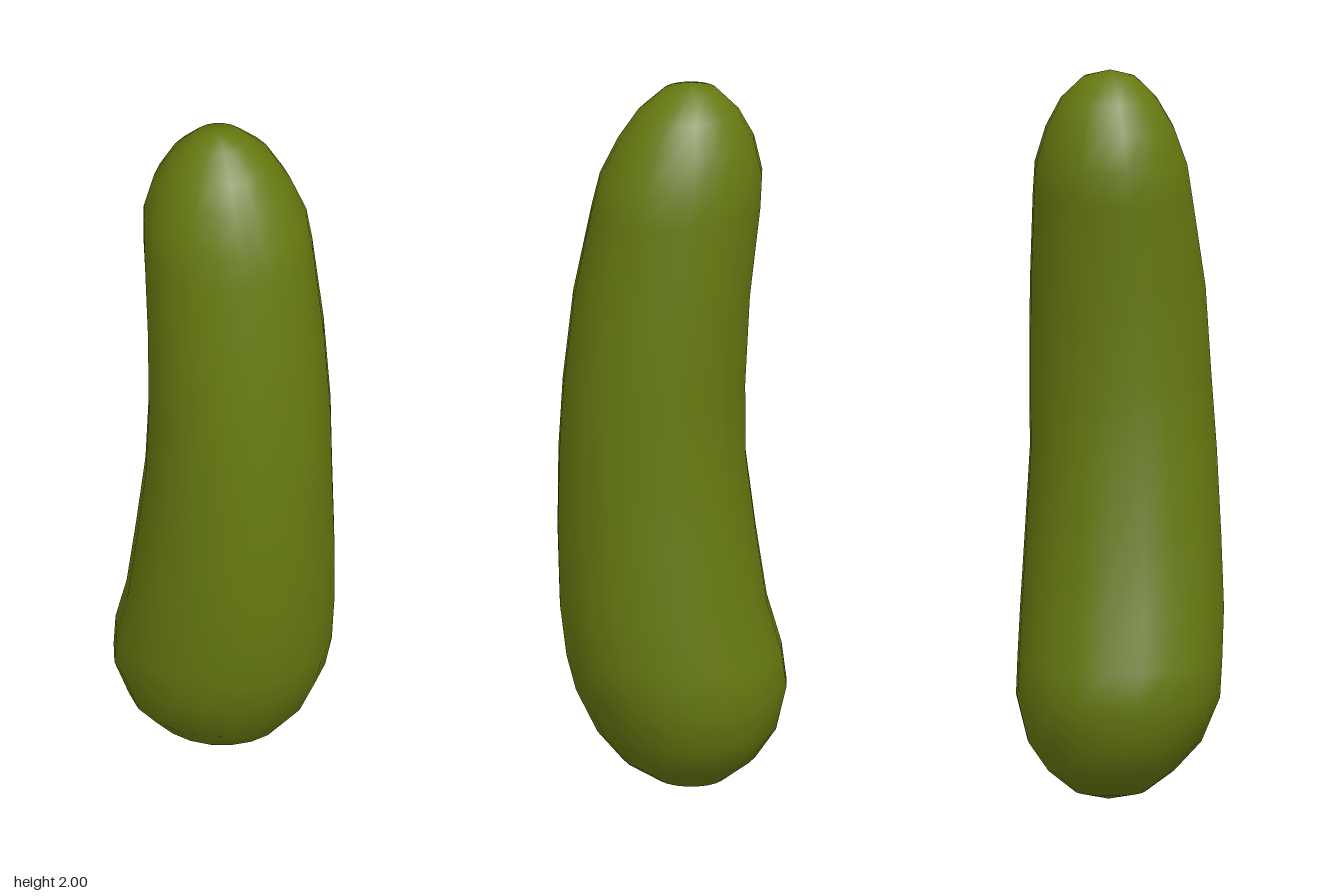
import * as THREE from 'three';

// Cross-sections from bottom to top: [y, min x, max x, min z, max z]
const SECTIONS = [
  [0.02, -0.13, 0.055, -0.13, 0.06],
  [0.08, -0.22, 0.15, -0.205, 0.14],
  [0.16, -0.28, 0.215, -0.26, 0.215],
  [0.28, -0.315, 0.27, -0.288, 0.268],
  [0.38, -0.305, 0.295, -0.28, 0.277],
  [0.52, -0.265, 0.308, -0.268, 0.288],
  [0.72, -0.235, 0.312, -0.252, 0.284],
  [0.95, -0.205, 0.308, -0.236, 0.275],
  [1.15, -0.2, 0.3, -0.238, 0.26],
  [1.4, -0.21, 0.275, -0.24, 0.24],
  [1.65, -0.237, 0.235, -0.238, 0.196],
  [1.74, -0.24, 0.215, -0.235, 0.18],
  [1.84, -0.215, 0.165, -0.208, 0.142],
  [1.92, -0.17, 0.11, -0.168, 0.095],
  [1.98, -0.11, 0.04, -0.108, 0.035],
];
const SIDES = 20;

// Lofts elliptical rings into a closed, smooth skin with a pole at each end
function loft(sections, bottom, top) {
  const positions = [];
  const index = [];
  for (const [y, x0, x1, z0, z1] of sections) {
    for (let i = 0; i < SIDES; i++) {
      const a = (i / SIDES) * Math.PI * 2;
      positions.push(
        (x0 + x1) / 2 + Math.cos(a) * (x1 - x0) / 2,
        y,
        (z0 + z1) / 2 + Math.sin(a) * (z1 - z0) / 2
      );
    }
  }
  const low = sections.length * SIDES;
  positions.push(...bottom, ...top);
  const last = (sections.length - 1) * SIDES;
  for (let i = 0; i < SIDES; i++) {
    const j = (i + 1) % SIDES;
    for (let r = 0; r < last; r += SIDES) {
      index.push(r + i, r + SIDES + i, r + j);
      index.push(r + j, r + SIDES + i, r + SIDES + j);
    }
    index.push(low, i, j);
    index.push(low + 1, last + j, last + i);
  }
  const geometry = new THREE.BufferGeometry();
  geometry.setAttribute('position', new THREE.Float32BufferAttribute(positions, 3));
  geometry.setIndex(index);
  geometry.computeVertexNormals();
  return geometry;
}

export function createModel() {
  const group = new THREE.Group();
  group.name = 'pickle';

  const olive = new THREE.MeshStandardMaterial({ color: 0x667a10 });
  olive.name = 'olive green';

  // Bent, tapering body
  const body = new THREE.Mesh(loft(SECTIONS, [-0.04, 0, -0.04], [-0.04, 2, -0.035]), olive);
  body.name = 'body';
  group.add(body);

  return group;
}
